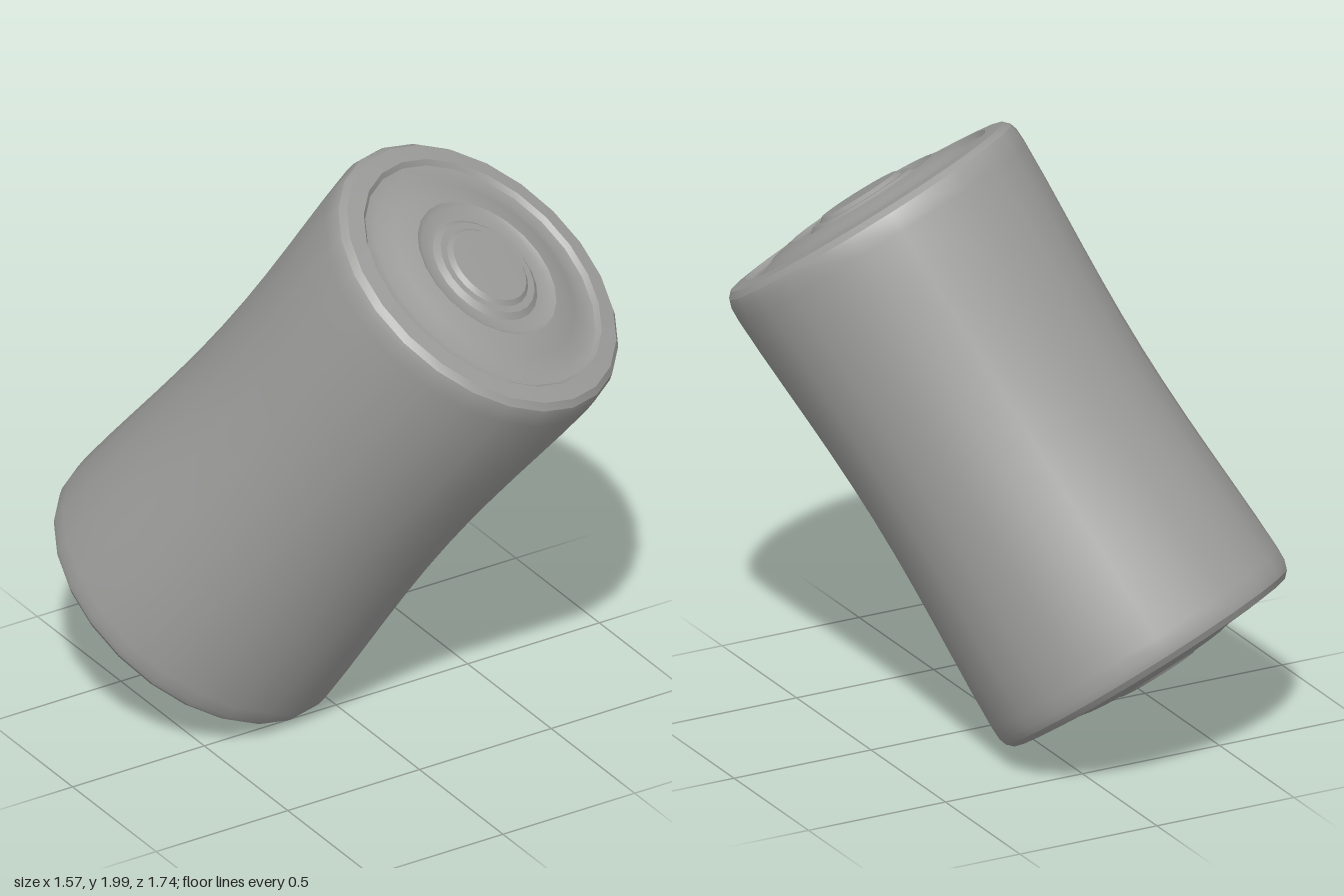
import * as THREE from 'three';
import { mergeVertices, toCreasedNormals } from 'three/addons/utils/BufferGeometryUtils.js';

const SIDES = 24;

// Turn a profile of [radius, height] points around the axis, with a welded seam
function turn(points) {
  const lathe = new THREE.LatheGeometry(points.map(([r, y]) => new THREE.Vector2(r, y)), SIDES);
  lathe.deleteAttribute('uv');
  lathe.deleteAttribute('normal');
  return mergeVertices(lathe, 1e-4);
}

export function createModel() {
  const model = new THREE.Group();
  const grey = new THREE.MeshStandardMaterial({ color: 0x9c9d9b });
  grey.name = 'stone grey';

  // Leaning axis, with everything centred half way up
  const roll = new THREE.Group();
  roll.name = 'leaningRoll';
  const axis = new THREE.Vector3(0.34, 0.81, 0.478).normalize();
  roll.quaternion.setFromUnitVectors(new THREE.Vector3(0, 1, 0), axis);
  roll.position.y = 1;
  model.add(roll);

  // Body: straight wall with slightly rounded ends
  const profile = [[0.535, -0.84], [0.543, -0.815]];
  for (let i = 0; i <= 12; i++) profile.push([0.545, -0.77 + (1.54 * i) / 12]);
  profile.push([0.543, 0.815], [0.535, 0.84]);
  const bodyGeometry = turn(profile);

  // Pinch the waist, more along the lean than across it
  const lean = new THREE.Vector2(axis.x, axis.z).normalize();
  const p = bodyGeometry.attributes.position;
  for (let i = 0; i < p.count; i++) {
    const x = p.getX(i), y = p.getY(i), z = p.getZ(i);
    const along = (x * lean.x + z * lean.y) / Math.hypot(x, z);
    const waist = Math.abs(y) < 0.8 ? Math.cos((y / 0.8) * Math.PI / 2) ** 1.5 : 0;
    const k = 1 - waist * (0.03 + 0.045 * along * along);
    p.setXYZ(i, x * k, y, z * k);
  }
  bodyGeometry.computeVertexNormals();
  const body = new THREE.Mesh(bodyGeometry, grey);
  body.name = 'body';
  roll.add(body);

  // End cap: bevelled rim, shallow ring, raised disc and low central boss
  const capGeometry = toCreasedNormals(turn([
    [0.535, 0.84], [0.515, 0.86], [0.455, 0.867], [0.44, 0.852], [0.4, 0.848],
    [0.345, 0.875], [0.265, 0.892], [0.245, 0.88], [0.2, 0.88],
    [0.18, 0.895], [0.155, 0.895], [0.14, 0.908], [0, 0.912],
  ]), 0.6);
  for (const [name, angle] of [['topCap', 0], ['bottomCap', Math.PI]]) {
    const cap = new THREE.Mesh(capGeometry, grey);
    cap.name = name;
    cap.rotation.z = angle;
    roll.add(cap);
  }
  return model;
}
